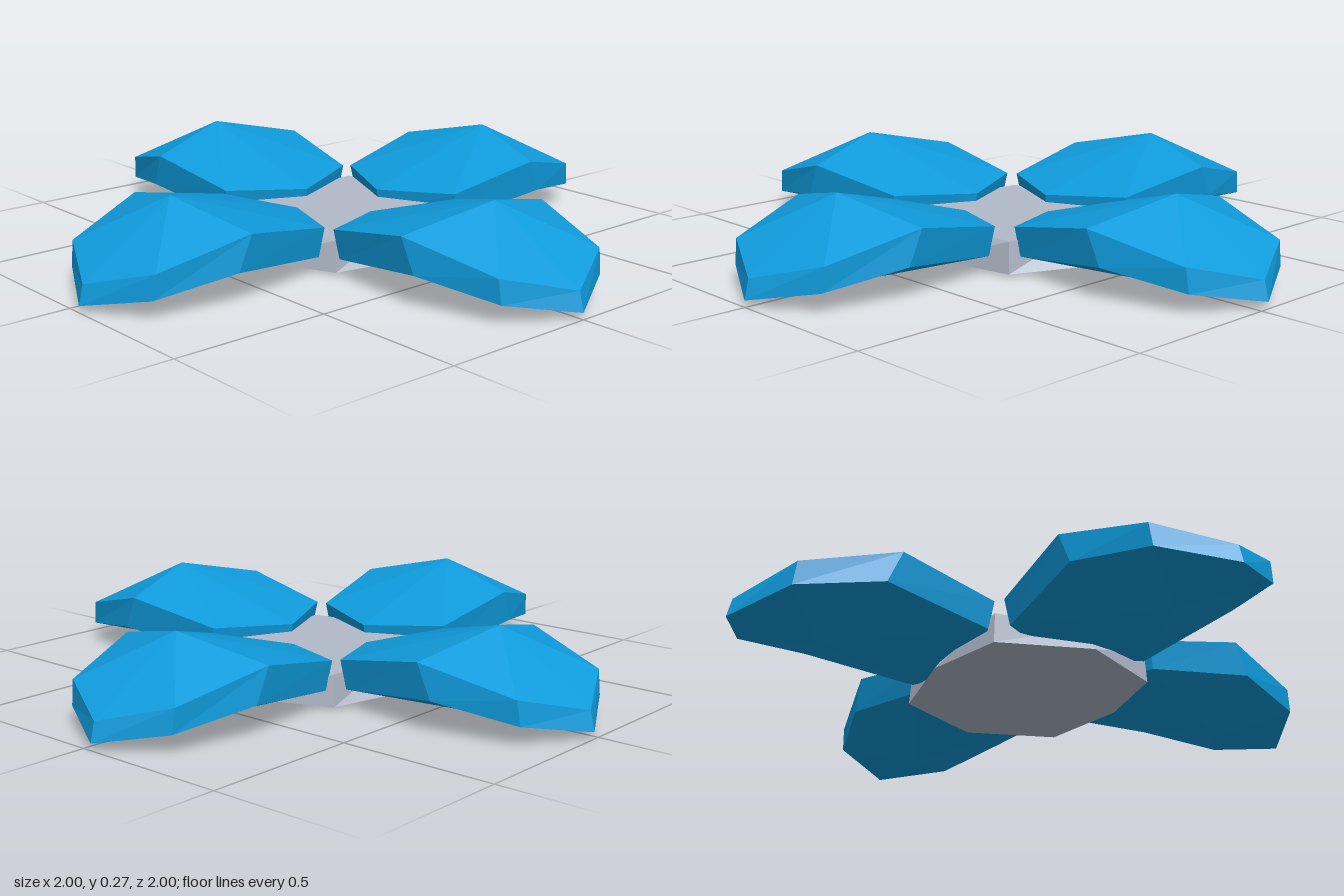
import * as THREE from 'three';

// Closed faceted solid: two matching rings of points, each capped by a fan from its own hub
function facetedSolid(top, bottom, topHub, bottomHub) {
  const pos = [];
  const tri = (a, b, c) => pos.push(...a, ...b, ...c);
  top.forEach((t0, i) => {
    const j = (i + 1) % top.length;
    const t1 = top[j], b0 = bottom[i], b1 = bottom[j];
    tri(topHub, t1, t0);
    tri(t0, t1, b1);
    tri(t0, b1, b0);
    tri(bottomHub, b0, b1);
  });
  const geometry = new THREE.BufferGeometry();
  geometry.setAttribute('position', new THREE.Float32BufferAttribute(pos, 3));
  geometry.computeVertexNormals();
  return geometry;
}

// Half outline from inner tip to outer tip, mirrored into a full ring
function mirrorRing(half) {
  const back = half.slice(1, -1).reverse().map(([x, y, z]) => [-x, y, z]);
  return [...half, ...back];
}

// One petal pointing along +z, its centre line shifted and leaning sideways
function petalGeometry(shift, lean) {
  const skew = ([x, y, z]) => [x + shift + lean * z, y, z];
  const top = mirrorRing([
    [0, 0.135, 0.165], [0.25, 0.15, 0.275], [0.29, 0.21, 0.595], [0.21, 0.14, 0.88], [0, 0.085, 0.985],
  ]).map(skew);
  const bottom = mirrorRing([
    [0, 0.05, 0.18], [0.24, 0.06, 0.29], [0.285, 0.105, 0.64], [0.205, 0.065, 0.89], [0, 0.025, 1.0],
  ]).map(skew);
  return facetedSolid(top, bottom, skew([0, 0.275, 0.67]), skew([0, 0.005, 0.72]));
}

export function createModel() {
  const model = new THREE.Group();
  model.name = 'flower';

  const blue = new THREE.MeshStandardMaterial({ color: 0x0f9bdc });
  blue.name = 'petal blue';
  const grey = new THREE.MeshStandardMaterial({ color: 0xb2bac9 });
  grey.name = 'base grey';

  // Eight-sided base, tapering beneath the petals
  const outline = [
    [0, -0.4], [0.27, -0.285], [0.32, 0], [0.27, 0.255],
    [0, 0.37], [-0.28, 0.255], [-0.34, 0], [-0.28, -0.285],
  ];
  const baseTop = outline.map(([x, z], i) => {
    const k = i % 2 ? 0.98 : 0.8;
    return [x * k, 0.11, z * k];
  });
  const baseBottom = outline.map(([x, z]) => [x, 0.012, z]);
  const base = new THREE.Mesh(facetedSolid(baseTop, baseBottom, [0, 0.11, 0], [0, 0.012, 0]), grey);
  base.name = 'base';
  model.add(base);

  // Four petals, each leaning a little differently
  const petals = [
    ['frontPetal', -0.03, 0.08],
    ['leftPetal', -0.026, 0.025],
    ['backPetal', 0.006, 0.024],
    ['rightPetal', 0.004, -0.025],
  ];
  petals.forEach(([name, shift, lean], i) => {
    const petal = new THREE.Mesh(petalGeometry(shift, lean), blue);
    petal.name = name;
    petal.rotation.y = i * Math.PI / 2;
    model.add(petal);
  });

  return model;
}
